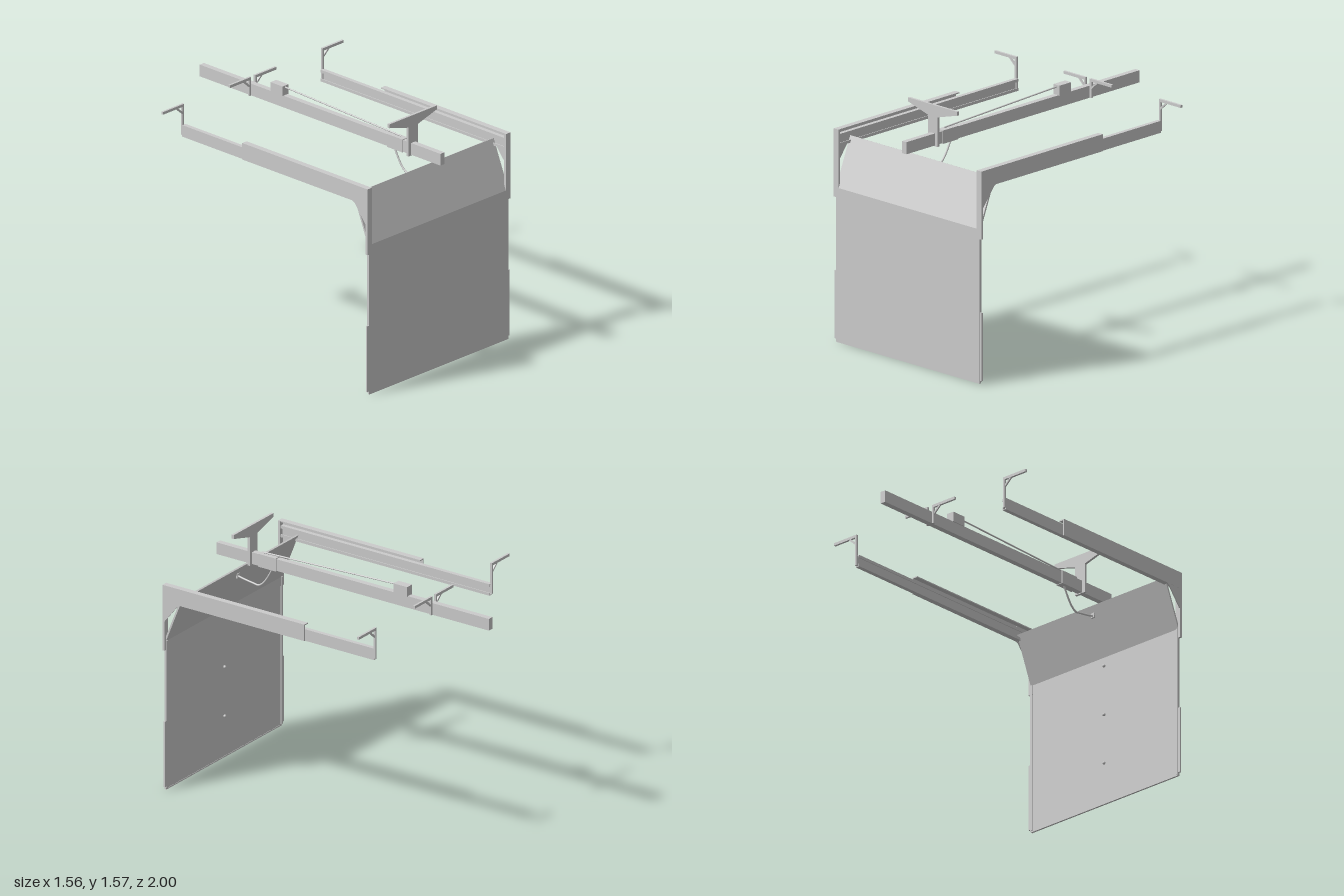
import * as THREE from 'three';

const mat = new THREE.MeshStandardMaterial({ color: 0xcccccc, flatShading: true });
const round = new THREE.MeshStandardMaterial({ color: 0xcccccc });

export function createModel() {
  const root = new THREE.Group();

  const add = (name, geo, material = mat) => {
    const m = new THREE.Mesh(geo, material);
    m.name = name;
    root.add(m);
    return m;
  };
  // Box given by its extents
  const box = (name, x0, x1, y0, y1, z0, z1) =>
    add(name, new THREE.BoxGeometry(Math.abs(x1 - x0), y1 - y0, z1 - z0)
      .translate((x0 + x1) / 2, (y0 + y1) / 2, (z0 + z1) / 2));
  const shapeOf = pts => new THREE.Shape(pts.map(p => new THREE.Vector2(p[0], p[1])));
  // Outline in x,y extruded from z0 to z1
  const plateXY = (name, pts, z0, z1) =>
    add(name, new THREE.ExtrudeGeometry(shapeOf(pts), { depth: z1 - z0, bevelEnabled: false })
      .translate(0, 0, z0));
  // Outline in z,y extruded from x0 to x1
  const plateZY = (name, pts, x0, x1) =>
    add(name, new THREE.ExtrudeGeometry(shapeOf(pts), { depth: x1 - x0, bevelEnabled: false })
      .rotateY(-Math.PI / 2).translate(x1, 0, 0));

  // Door: upright leaf and tilted top section
  box('doorPanel', -0.6, 0.6, 0.003, 0.97, 0.957, 0.969);
  plateZY('tiltedTopPanel', [[0.969, 0.97], [0.957, 0.968], [0.837, 1.266], [0.847, 1.27]], -0.6, 0.6);
  box('bottomSeal', -0.597, 0.597, 0, 0.008, 0.955, 0.967);

  // Hinge knobs on the inside of the door
  for (const y of [0.27, 0.59, 0.912]) {
    add('hingeKnob', new THREE.SphereGeometry(0.01, 12, 8).translate(0, y, 0.952), round);
  }

  // L-shaped ceiling hanger: foot at x, arm pointing to side s
  const hanger = (s, x, yFoot) => {
    const z0 = -0.586, z1 = -0.572;
    box('hangerPost', s * x, s * (x + 0.013), yFoot, 1.44, z0, z1);
    box('hangerArm', s * x, s * (x + 0.182), 1.423, 1.44, z0, z1);
    plateXY('hangerBrace', [[x + 0.012, 1.376], [x + 0.066, 1.424], [x + 0.05, 1.424], [x + 0.012, 1.39]]
      .map(p => [s * p[0], p[1]]), z0 + 0.002, z1 - 0.002);
  };

  for (const s of [-1, 1]) {
    // Horizontal track: channel opening inwards with lips
    plateXY('horizontalTrack', [
      [0.61, 1.23], [0.61, 1.305], [0.583, 1.305], [0.583, 1.287], [0.588, 1.287], [0.588, 1.3],
      [0.604, 1.3], [0.604, 1.235], [0.588, 1.235], [0.588, 1.248], [0.583, 1.248], [0.583, 1.23],
    ].map(p => [s * p[0], p[1]]), -0.576, 0.957);
    // Stiffening angle along the front part of the track
    plateXY('trackAngle', [[0.617, 1.23], [0.617, 1.337], [0.579, 1.337], [0.579, 1.33], [0.61, 1.33], [0.61, 1.23]]
      .map(p => [s * p[0], p[1]]), -0.07, 0.967);
    // Corner gusset and front plates
    const inner = s > 0 ? 0.609 : -0.616;
    plateZY('cornerGusset', [[0.97, 1.1], [0.97, 1.335], [0.84, 1.335], [0.84, 1.23], [0.862, 1.22], [0.957, 1.1]],
      inner, inner + 0.007);
    box('cornerPlate', s * 0.578, s * 0.617, 0.91, 1.337, 0.957, 0.972).position.z = -0.001;
    box('lowerTrackPlate', s * 0.594, s * 0.615, 0.02, 0.447, 0.955, 0.966);
    box('verticalTrack', s * 0.585, s * 0.6, 0.01, 0.97, 0.952, 0.96);
    // Ceiling hangers for the side track and the centre beam
    hanger(s, 0.596, 1.24);
    hanger(s, 0.018, 1.32);
  }

  // Opener beam with motor, carriage and pull cable
  box('openerBeam', -0.018, 0.018, 1.32, 1.396, -1, 1);
  box('motorBox', -0.025, 0.025, 1.394, 1.457, -0.405, -0.305);
  box('carriage', -0.024, 0.024, 1.317, 1.401, 0.56, 0.69);
  add('pullCable', new THREE.TubeGeometry(new THREE.LineCurve3(
    new THREE.Vector3(0, 1.408, 0.66), new THREE.Vector3(0, 1.445, -0.31)), 1, 0.005, 8), round);

  // Curved arm from the carriage to the top of the door
  const armPath = new THREE.CatmullRomCurve3([
    [1.32, 0.6], [1.25, 0.638], [1.205, 0.672], [1.184, 0.705], [1.188, 0.74], [1.2, 0.82], [1.21, 0.865],
  ].map(p => new THREE.Vector3(0, p[0], p[1])));
  add('doorArm', new THREE.TubeGeometry(armPath, 24, 0.006, 8), round);
  box('armFoot', -0.012, 0.012, 1.195, 1.225, 0.85, 0.862);

  // T-shaped front ceiling bracket
  plateXY('ceilingBracket', [
    [-0.205, 1.573], [-0.205, 1.548], [-0.04, 1.502], [-0.04, 1.315],
    [0.04, 1.315], [0.04, 1.502], [0.205, 1.548], [0.205, 1.573],
  ], 0.74, 0.756);

  return root;
}
